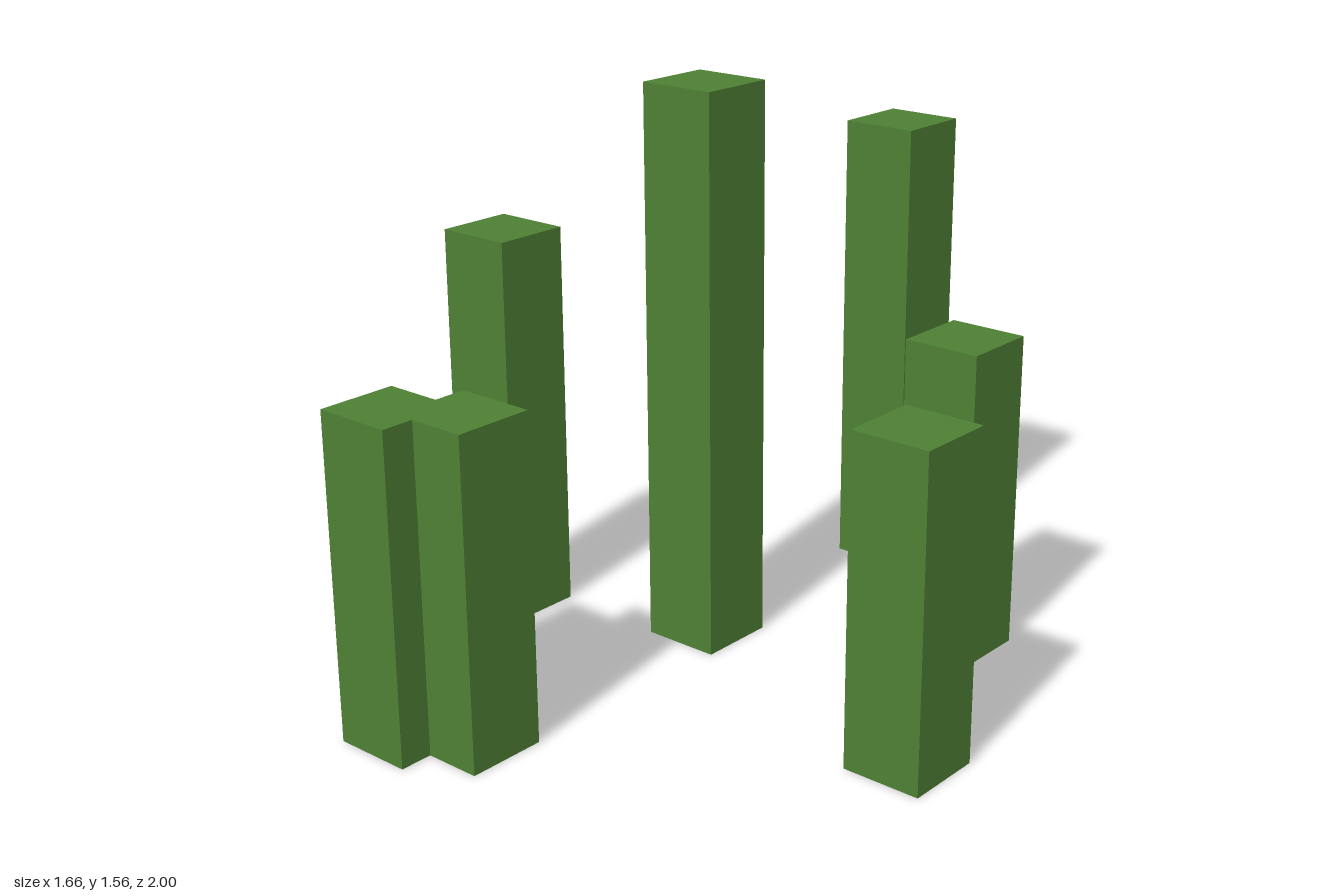
import * as THREE from 'three';

export function createModel() {
  const model = new THREE.Group();
  model.name = 'greenPillars';
  const green = new THREE.MeshStandardMaterial({ color: 0x4e8034 });
  green.name = 'leaf green';

  // Every pillar is a stack of whole cubes: [x, z, cubes high]
  const unit = 0.2233;
  const pillars = [
    [-0.106, -0.888, 6],
    [0.42, -0.459, 4],
    [-0.16, -0.079, 7],
    [-0.721, 0.121, 5],
    [0.719, 0.184, 4],
    [-0.175, 0.796, 4],
    [-0.335, 0.888, 4],
  ];

  pillars.forEach(([x, z, cubes], i) => {
    const height = cubes * unit;
    const pillar = new THREE.Mesh(new THREE.BoxGeometry(unit, height, unit), green);
    pillar.name = `pillar${i + 1}`;
    pillar.position.set(x, height / 2, z);
    model.add(pillar);
  });

  return model;
}
